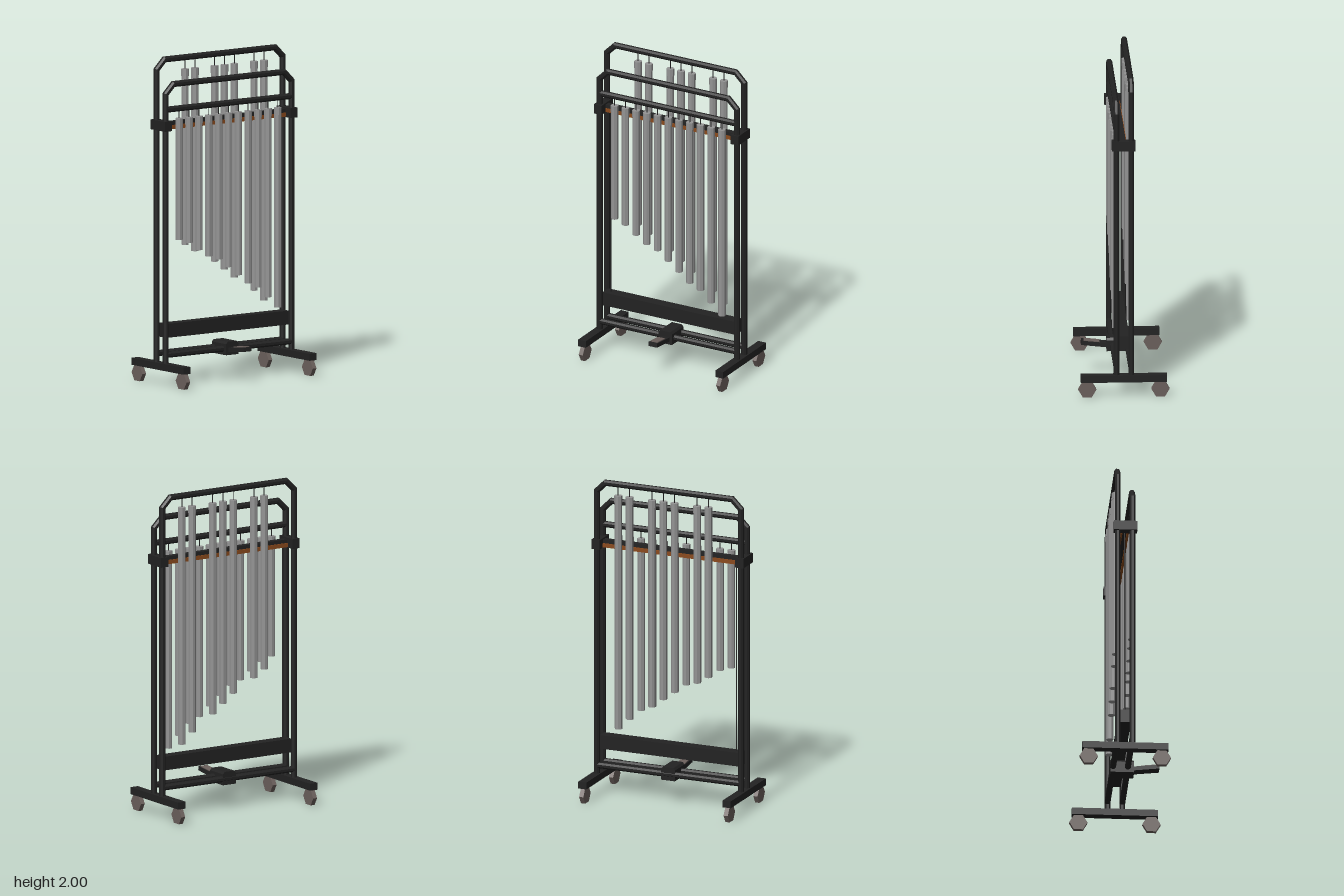
import * as THREE from 'three';

const mat = (name, color) => {
  const m = new THREE.MeshStandardMaterial({ color });
  m.name = name;
  return m;
};

export function createModel() {
  const root = new THREE.Group();
  root.name = 'tubularBells';
  const black = mat('blackMetal', 0x222222);
  const steel = mat('tubeSteel', 0x949494);
  const felt = mat('brownFelt', 0x8a4a1c);
  const rubber = mat('greyRubber', 0x6b605c);

  const add = (name, geo, material, x = 0, y = 0, z = 0, parent = root) => {
    const flat = geo.index ? geo.toNonIndexed() : geo;
    flat.computeVertexNormals();
    const mesh = new THREE.Mesh(flat, material);
    mesh.name = name;
    mesh.position.set(x, y, z);
    parent.add(mesh);
    return mesh;
  };
  // box given by its limits on each axis
  const box = (name, material, x0, x1, y0, y1, z0, z1) =>
    add(name, new THREE.BoxGeometry(x1 - x0, y1 - y0, z1 - z0), material,
      (x0 + x1) / 2, (y0 + y1) / 2, (z0 + z1) / 2);

  // eight-sided pipe with mitred corners along a path in the xy plane
  const pipe = (name, pts, z, apothem = 0.0175) => {
    const n = 8, R = apothem / Math.cos(Math.PI / n), pos = [], idx = [];
    const path = pts.map(([x, y]) => new THREE.Vector2(x, y));
    const last = path.length - 1;
    path.forEach((p, i) => {
      const a = path[Math.max(i - 1, 0)], b = path[Math.min(i + 1, last)];
      const d0 = (i > 0 ? p.clone().sub(a) : b.clone().sub(p)).normalize();
      const d1 = (i < last ? b.clone().sub(p) : d0.clone()).normalize();
      const t = d0.clone().add(d1).normalize();
      const s = 1 / t.dot(d0);
      for (let k = 0; k < n; k++) {
        const q = (k + 0.5) / n * Math.PI * 2;
        const u = R * Math.cos(q) * s;
        pos.push(p.x - t.y * u, p.y + t.x * u, R * Math.sin(q));
      }
    });
    for (let i = 0; i < last; i++) for (let k = 0; k < n; k++) {
      const a = i * n + k, b = i * n + (k + 1) % n;
      idx.push(a, b, b + n, a, b + n, a + n);
    }
    for (let k = 1; k < n - 1; k++) {
      idx.push(0, k + 1, k);
      idx.push(last * n, last * n + k, last * n + k + 1);
    }
    const g = new THREE.BufferGeometry();
    g.setAttribute('position', new THREE.Float32BufferAttribute(pos, 3));
    g.setIndex(idx);
    return add(name, g, black, 0, 0, z);
  };

  // two arched frames with chamfered top corners
  const X = 0.478, Z = 0.045;
  const arch = (name, top, z) => pipe(name, [
    [-X, 0.13], [-X, top - 0.075], [-0.42, top - 0.0175],
    [0.42, top - 0.0175], [X, top - 0.075], [X, 0.13],
  ], z);
  arch('frontFrame', 1.86, Z);
  arch('backFrame', 2.0, -Z);
  pipe('frontHangingBar', [[-X, 1.69], [X, 1.69]], Z);
  for (const z of [Z, -Z]) pipe('lowerBar', [[-X, 0.188], [X, 0.188]], z);
  box('lowerPanel', black, -0.465, 0.465, 0.29, 0.375, -0.035, 0.035);

  // feet, wheels and damper brackets
  for (const s of [-1, 1]) {
    box('foot', black, s * 0.479 - 0.027, s * 0.479 + 0.027, 0.095, 0.138, -0.262, 0.262);
    box('damperBracket', black, s * 0.477 - 0.027, s * 0.477 + 0.027, 1.56, 1.62, -0.07, 0.073);
    for (const z of [-0.222, 0.222]) {
      const g = new THREE.CylinderGeometry(0.055, 0.055, 0.028, 6).rotateZ(Math.PI / 2);
      add('wheel', g, rubber, s * 0.479, 0.0476, z);
    }
  }

  // damper bar with felt strips, and its pull rod
  box('damperBar', black, -0.452, 0.452, 1.58, 1.61, -0.014, 0.022);
  box('backFelt', felt, -0.452, 0.452, 1.563, 1.588, -0.021, -0.014);
  box('frontFelt', felt, -0.452, 0.452, 1.563, 1.588, 0.012, 0.025);
  add('damperRod', new THREE.CylinderGeometry(0.004, 0.004, 1.2, 6), black, -0.428, 0.97, 0);

  // pedal
  const housing = new THREE.Shape([
    [-0.046, 0.152], [0.046, 0.152], [0.046, 0.22], [0.035, 0.234], [-0.035, 0.234], [-0.046, 0.22],
  ].map(([x, y]) => new THREE.Vector2(x, y)));
  add('pedalHousing', new THREE.ExtrudeGeometry(housing, { depth: 0.143, bevelEnabled: false }),
    black, 0, 0, -0.06);
  const pedal = new THREE.Group();
  pedal.name = 'pedal';
  pedal.position.set(0, 0.185, 0.08);
  pedal.rotation.x = -0.11;
  root.add(pedal);
  add('pedalPlate', new THREE.BoxGeometry(0.06, 0.026, 0.165), black, 0, 0, 0.075, pedal);
  add('pedalPad', new THREE.BoxGeometry(0.05, 0.008, 0.095), rubber, 0, 0.014, 0.096, pedal);

  // eighteen tubes in falling pitch: naturals in front, sharps behind
  const tube = (x, z, top, bottom, hook) => {
    const g = new THREE.Group();
    g.name = 'chime';
    root.add(g);
    const cyl = (r, h) => new THREE.CylinderGeometry(r, r, h, 8).rotateY(Math.PI / 8);
    add('tube', cyl(0.0232, top - bottom), steel, x, (top + bottom) / 2, z, g);
    add('tubeCap', cyl(0.0245, 0.045), steel, x, top - 0.0225, z, g);
    add('cord', cyl(0.003, hook - top), black, x, (hook + top) / 2, z, g);
  };
  const bottoms = [0.885, 0.86, 0.835, 0.81, 0.79, 0.765, 0.74, 0.712, 0.686,
    0.658, 0.63, 0.602, 0.573, 0.541, 0.508, 0.475, 0.441, 0.405];
  const pattern = 'NNSNSNNSNSNSNNSNSN';
  let x = -0.374;
  [...pattern].forEach((kind, i) => {
    if (kind === 'N') {
      tube(x, Z, 1.63, bottoms[i], 1.69);
      x += 0.0748;
    } else {
      tube(x - 0.0374, -Z, 1.912, bottoms[i], 1.98);
    }
  });
  return root;
}
